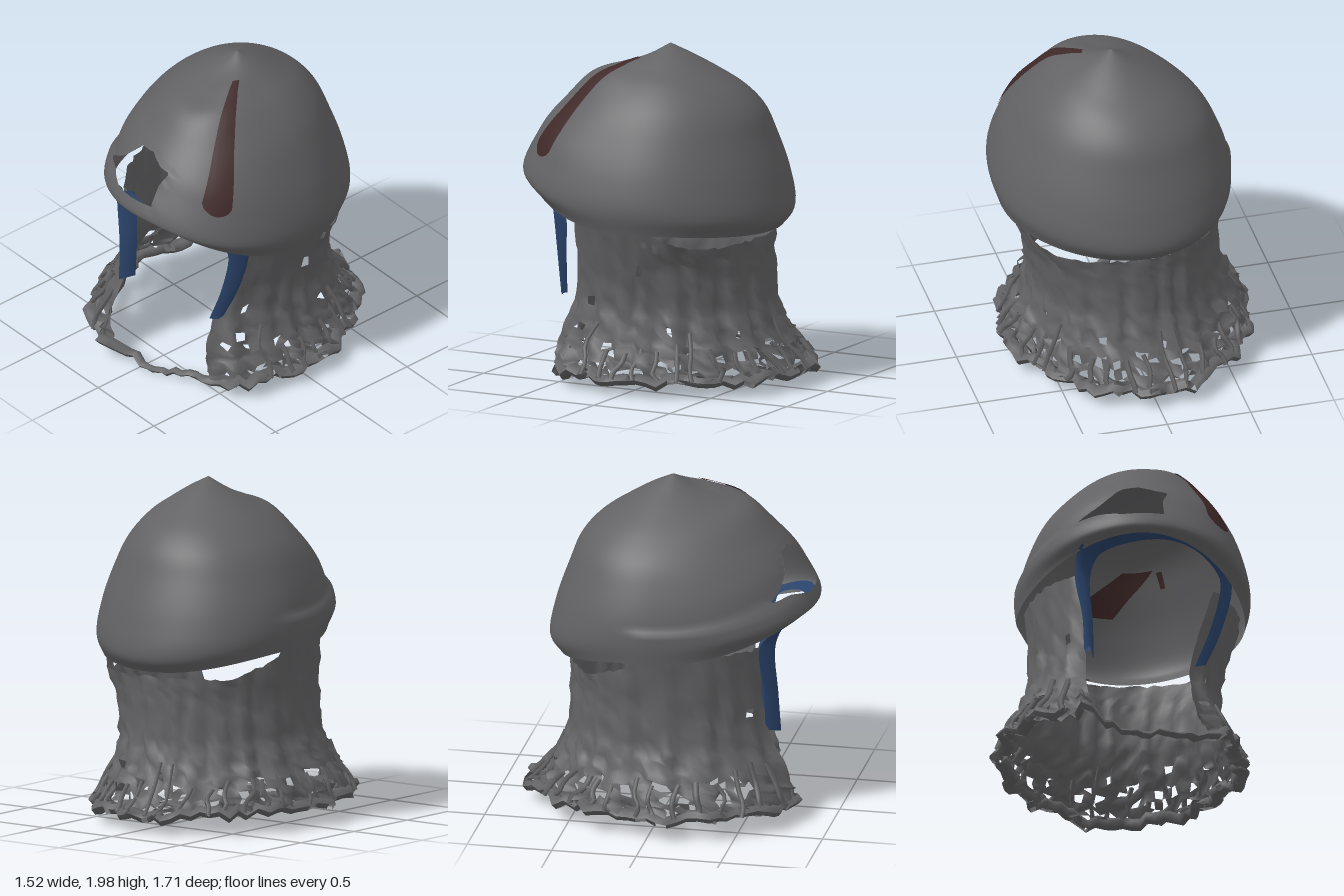
import * as THREE from 'three';

const { sin, cos, PI } = Math;
const smooth = THREE.MathUtils.smoothstep;
const rad = THREE.MathUtils.degToRad;
const lerp = THREE.MathUtils.lerp;

function material(name, color) {
  const m = new THREE.MeshStandardMaterial({ color, side: THREE.DoubleSide });
  m.name = name;
  return m;
}

// small seeded random source
function seeded(seed) {
  return () => {
    seed = (seed * 16807) % 2147483647;
    return seed / 2147483647;
  };
}

// grid surface from point(i, j); keep(i, j, corners) may leave triangles out
function grid(cols, rows, closed, point, keep = () => true) {
  const n = closed ? cols : cols + 1;
  const pts = [];
  for (let j = 0; j <= rows; j++) for (let i = 0; i < n; i++) pts.push(point(i, j));
  const index = [];
  for (let j = 0; j < rows; j++) {
    for (let i = 0; i < cols; i++) {
      const i2 = (i + 1) % n;
      const a = j * n + i, b = j * n + i2, c = a + n, d = b + n;
      for (const t of [[a, b, c], [b, d, c]]) {
        if (keep(i, j, t.map((k) => pts[k]))) index.push(...t);
      }
    }
  }
  const g = new THREE.BufferGeometry().setFromPoints(pts);
  g.setIndex(index);
  g.computeVertexNormals();
  return g;
}

// four dome profiles (radius, height) from apex to rim
const profile = (list) =>
  new THREE.CatmullRomCurve3([[0, 2], ...list].map(([r, y]) => new THREE.Vector3(r, y, 0)));
const FRONT = profile([[.14, 1.92], [.3, 1.865], [.46, 1.81], [.61, 1.66], [.69, 1.57], [.75, 1.48], [.84, 1.28], [.8, 1.24]]);
const LEFT = profile([[.12, 1.94], [.22, 1.88], [.34, 1.8], [.47, 1.66], [.57, 1.47], [.64, 1.28], [.67, 1.1], [.64, .98]]);
const RIGHT = profile([[.12, 1.93], [.24, 1.86], [.4, 1.75], [.53, 1.62], [.61, 1.46], [.66, 1.3], [.67, 1.17], [.66, 1.06]]);
const BACK = profile([[.14, 1.93], [.3, 1.83], [.44, 1.73], [.53, 1.62], [.59, 1.47], [.67, 1.23], [.7, 1.02], [.64, .94]]);

// point on the dome: angle in degrees (90 = front), v = 0 apex to 8 rim
function domePoint(deg, v, off = 0) {
  const c = cos(rad(deg)), s = sin(rad(deg));
  const a = (c > 0 ? LEFT : RIGHT).getPoint(v / 8);
  const b = (s > 0 ? FRONT : BACK).getPoint(v / 8);
  // raised brow band on the right front
  const band = smooth(v, 6.2, 6.45) * smooth(deg, 70, 105) * (1 - smooth(deg, 180, 200));
  // fuller front corners and a flatter left front crown
  const corner = s > 0 ? 4 * s * s * c * c : 0;
  const swell = 0.025 * corner * smooth(v, 3.5, 5.5) * (1 - smooth(v, 6.8, 8));
  const crown = c > 0 ? 0.02 * corner * smooth(v, 0.4, 2) * (1 - smooth(v, 2.5, 4.5)) : 0;
  const o = off + 0.024 * band + swell;
  const z = (b.x + o) * s;
  const y = a.y * c * c + b.y * s * s + crown + off * Math.max(0, 1 - v / 6);
  return new THREE.Vector3(0.07 + (a.x + o) * c + 0.1 * z, y, z);
}

// jagged break in the front of the dome
const HOLE = [[-.27, 1.37], [-.12, 1.47], [0, 1.59], [.1, 1.6], [.2, 1.56], [.27, 1.55], [.24, 1.47], [.25, 1.36], [0, 1.355], [-.15, 1.385]]
  .map(([x, y]) => new THREE.Vector2(x, y));

function inHole(x, y) {
  let inside = false;
  HOLE.forEach((p, k) => {
    const q = HOLE[(k + 1) % HOLE.length];
    if (p.y > y !== q.y > y && x < ((q.x - p.x) * (y - p.y)) / (q.y - p.y) + p.x) inside = !inside;
  });
  return inside;
}

// move a nearby point onto the edge of the break, following the dome's slope
function snapToHole(p) {
  if (p.z < 0.3) return p;
  let best = 0.02, hit = null;
  HOLE.forEach((a, k) => {
    const e = HOLE[(k + 1) % HOLE.length].clone().sub(a);
    const d = new THREE.Vector2(p.x, p.y).sub(a);
    const t = THREE.MathUtils.clamp(d.dot(e) / e.lengthSq(), 0, 1);
    const q = a.clone().addScaledVector(e, t);
    const dist = q.distanceTo(new THREE.Vector2(p.x, p.y));
    if (dist < best) { best = dist; hit = q; }
  });
  if (hit) p.set(hit.x, hit.y, p.z - 0.75 * (hit.y - p.y));
  return p;
}

// mail curtain sections: height, radius at left, right, front, back
const MAIL = [
  [1.1, .68, .56, .64, .58], [.75, .59, .53, .64, .57], [.5, .55, .55, .66, .58],
  [.33, .6, .62, .73, .64], [.21, .66, .67, .76, .73], [.12, .7, .68, .76, .8],
];
function mailPoint(deg, t, off = 0) {
  const f = t * (MAIL.length - 1), k = Math.min(MAIL.length - 2, Math.floor(f));
  const [y, l, r, fr, b] = MAIL[k].map((m, n) => lerp(m, MAIL[k + 1][n], f - k));
  const c = cos(rad(deg)), s = sin(rad(deg));
  const top = Math.max(0, 1 - f);
  const drop = 0.02 + 0.18 * smooth(-s, -0.1, 0.8) + 0.03 * Math.max(0, c);
  // hem flares further towards the right front
  const o = off + 0.05 * t * t * ((s - c) / Math.SQRT2) ** 3;
  return new THREE.Vector3(((c > 0 ? l : r) + o) * c,
    y - drop * top + 0.04 * Math.max(0, -c) * t,
    ((s > 0 ? fr : b) + o) * s);
}

export function createModel() {
  const group = new THREE.Group();
  const steel = material('darkSteel', 0x626264);
  const blue = material('blueTrim', 0x2b446c);
  const red = material('darkRedPaint', 0x3f2828);
  const add = (name, geometry, mat) => {
    const mesh = new THREE.Mesh(geometry, mat);
    mesh.name = name;
    group.add(mesh);
  };

  // dome with the break cut out
  add('dome', grid(120, 52, true,
    (i, j) => snapToHole(domePoint(i * 3, (j / 52) * 8)),
    (i, j, t) => {
      const x = (t[0].x + t[1].x + t[2].x) / 3, y = (t[0].y + t[1].y + t[2].y) / 3;
      return t[0].z < 0.3 || !inHole(x, y);
    }), steel);

  // tapering painted stripe on the left front, rounded at the foot
  add('stripe', grid(6, 24, false, (i, j) => {
    const t = j / 24, w = i / 3 - 1;
    const half = lerp(6, 7.5, t) * (t > 0.97 ? 0.8 : 1);
    return domePoint(lerp(39, 49, t) + half * w, lerp(1.4, 6.15 - 0.15 * w * w, t), 0.006);
  }), red);

  // stains inside: angles at the top and bottom edge, then the two heights
  const stains = {
    backWallStain: [268, 289, 241, 264, 4.1, 5.5],
    sideWallStain: [291, 295, 292, 295, 4.2, 4.8],
    backRimStain: [222, 252, 222, 252, 7.86, 8],
    browStain: [81, 89, 81, 89, 7.3, 7.9],
  };
  for (const [name, [a, b, c, d, v0, v1]] of Object.entries(stains)) {
    add(name, grid(8, 6, false, (i, j) =>
      domePoint(lerp(lerp(a, c, j / 6), lerp(b, d, j / 6), i / 8), lerp(v0, v1, j / 6), -0.008)), red);
  }

  // mail curtain: folds, jitter and torn links, denser near the hem
  const rnd = seeded(4711);
  const spread = (size) => (rnd() - 0.5) * size;
  const cols = 80, rows = 22;
  const torn = new Set();
  for (let j = 0; j < rows; j++) {
    for (let i = 1; i < cols - 1; i++) {
      const low = smooth(j / rows, 0.5, 0.85);
      if (rnd() < 0.012 + 0.2 * low) torn.add(i + ',' + j);
    }
  }
  add('mailCurtain', grid(cols, rows, false, (i, j) => {
    const t = j / rows;
    const size = (0.016 + 0.034 * t) * (i === 0 || i === cols ? 0.3 : 1);
    const deg = lerp(lerp(116, 103, t), lerp(398, 407, Math.min(1, t * 1.6)), i / cols);
    const fold = (0.005 + 0.022 * t) * (sin(rad(deg) * 21 + 2 * sin(rad(deg) * 3)) + 0.5 * sin(rad(deg) * 34));
    const p = mailPoint(deg + spread(size) * 60, t, fold + spread(size));
    p.y += spread(size);
    return p;
  }, (i, j) => !torn.has(i + ',' + j)), steel);

  // gathered strands running down into the hem
  for (let k = 0; k < 30; k++) {
    const deg = 110 + k * 9.7 + spread(6), start = lerp(0.5, 0.72, rnd());
    const pts = [0, 0.35, 0.7, 1].map((u) => mailPoint(deg + spread(4), lerp(start, 1, u), 0.035 * u + spread(0.02)));
    add('mailStrand', new THREE.TubeGeometry(new THREE.CatmullRomCurve3(pts), 6, lerp(0.012, 0.02, rnd()), 4), steel);
  }

  // ragged rolled hem with torn gaps, thin across the face
  const hemCols = 84;
  const ring = Array.from({ length: hemCols }, (_, i) => {
    const deg = (i * 360) / hemCols;
    const face = smooth(deg, 35, 60) * (1 - smooth(deg, 92, 108));
    const lump = 0.026 * sin(i * 1.1 + sin(i * 0.5));
    return { deg, face, out: lump * (1 - face) - 0.12 * face + spread(0.03), up: spread(0.05) - 0.065 * face };
  });
  const hemTorn = new Set();
  for (let k = 0; k < hemCols * 6; k++) if (rnd() < 0.13) hemTorn.add(k);
  add('hem', grid(hemCols, 6, true, (i, j) => {
    const { deg, face, out, up } = ring[i];
    const a = (j * PI) / 3, size = lerp(1, 0.55, face);
    const p = mailPoint(deg, 1, out + 0.045 * size * cos(a) + (j % 6 ? spread(0.015) : 0));
    p.y += up + 0.034 * size * sin(a);
    return p;
  }, (i, j) => ring[i].face > 0.3 || !hemTorn.has(j * hemCols + i)), steel);

  // blue lining round the face opening: outer edge, corner, inner edge
  const trim = [
    [-.215, .56, .6, -.18, .55, .69, -.16, .54, .58], [-.225, .8, .6, -.19, .79, .675, -.165, .78, .565],
    [-.27, 1.1, .585, -.225, 1.09, .665, -.18, 1.08, .56], [-.22, 1.22, .73, -.18, 1.19, .7, -.13, 1.18, .63],
    [.05, 1.262, .81, .04, 1.235, .76, .03, 1.225, .7], [.25, 1.262, .81, .25, 1.24, .78, .25, 1.23, .74],
    [.45, 1.245, .73, .44, 1.21, .71, .42, 1.2, .67], [.61, 1.16, .56, .6, 1.13, .55, .55, 1.12, .53],
    [.63, 1.07, .4, .64, 1.06, .46, .575, 1.05, .5], [.58, .8, .41, .585, .79, .465, .52, .78, .5],
    [.485, .55, .455, .485, .54, .495, .425, .52, .515],
  ];
  const edges = [0, 3, 6].map((o) => new THREE.CatmullRomCurve3(trim.map((p) => new THREE.Vector3(p[o], p[o + 1], p[o + 2]))));
  add('faceTrim', grid(60, 2, false, (i, j) => edges[j].getPoint(i / 60)), blue);

  return group;
}
